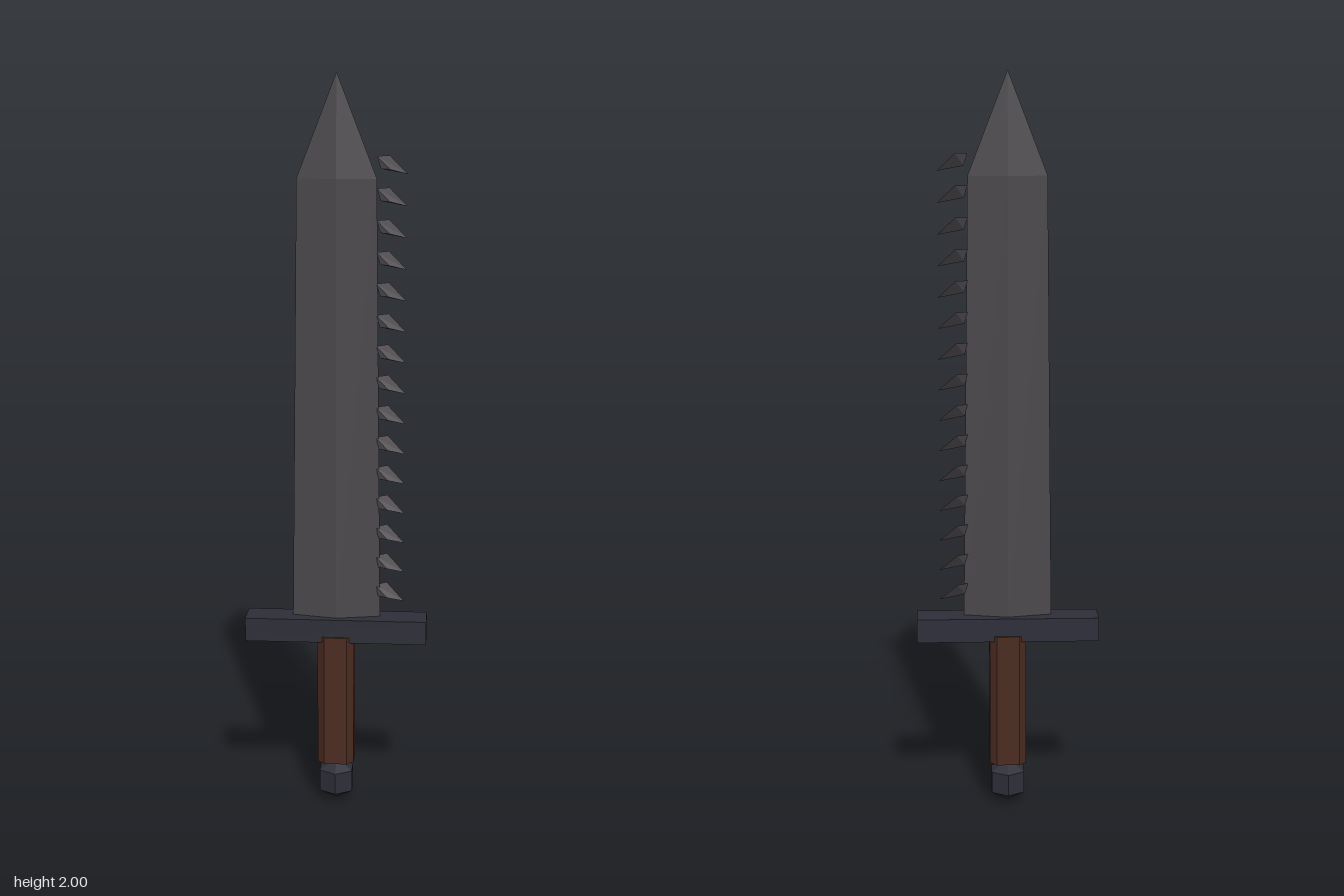
import * as THREE from 'three';
import { ConvexGeometry } from 'three/addons/geometries/ConvexGeometry.js';

const flat = (name, color) => new THREE.MeshStandardMaterial({ name, color, flatShading: true });

export function createModel() {
  const steel = flat('dark steel', 0x4b474b);
  const iron = flat('blue black iron', 0x2d2e38);
  const leather = flat('brown leather', 0x4a2b20);

  const model = new THREE.Group();
  model.name = 'serratedSword';
  const add = (name, geometry, material, x = 0, y = 0, z = 0) => {
    const mesh = new THREE.Mesh(geometry, material);
    mesh.name = name;
    mesh.position.set(x, y, z);
    model.add(mesh);
    return mesh;
  };

  // Pommel: six-sided faceted ball, corners facing front and back
  add('pommel', new THREE.SphereGeometry(0.06, 6, 3).rotateY(Math.PI / 6), iron, 0, 0.06);

  // Grip: square bar with chamfered corners
  const h = 0.05, c = 0.031;
  const section = new THREE.Shape([
    [h, -c], [h, c], [c, h], [-c, h], [-h, c], [-h, -c], [-c, -h], [c, -h],
  ].map(([x, y]) => new THREE.Vector2(x, y)));
  const gripGeometry = new THREE.ExtrudeGeometry(section, { depth: 0.37, bevelEnabled: false });
  add('grip', gripGeometry.rotateX(-Math.PI / 2), leather, 0, 0.12);

  // Crossguard
  add('crossguard', new THREE.BoxGeometry(0.496, 0.065, 0.088), iron, 0, 0.507);

  // Blade and point: tapering diamond sections
  const thin = 0.22, shoulder = 1.73, base = 0.53;
  add('blade', new THREE.CylinderGeometry(0.105, 0.12, shoulder - base, 4, 1, true).scale(1, 1, thin),
    steel, 0, (shoulder + base) / 2);
  add('bladePoint', new THREE.CylinderGeometry(0, 0.105, 2 - shoulder, 4, 1, true).scale(1, 1, thin),
    steel, 0, (shoulder + 2) / 2);

  // Saw teeth: skewed spikes down one edge, drooping towards the guard
  const tooth = new ConvexGeometry([
    [0.105, 0.045, 0], [0.137, 0.046, -0.023], [0.115, 0.013, 0.002],
    [0.139, 0.012, 0.013], [0.185, 0, 0],
  ].map((p) => new THREE.Vector3(...p)));
  for (let i = 0; i < 15; i++) add('sawTooth', tooth, steel, 0, 0.585 + i * 0.0827);

  return model;
}
